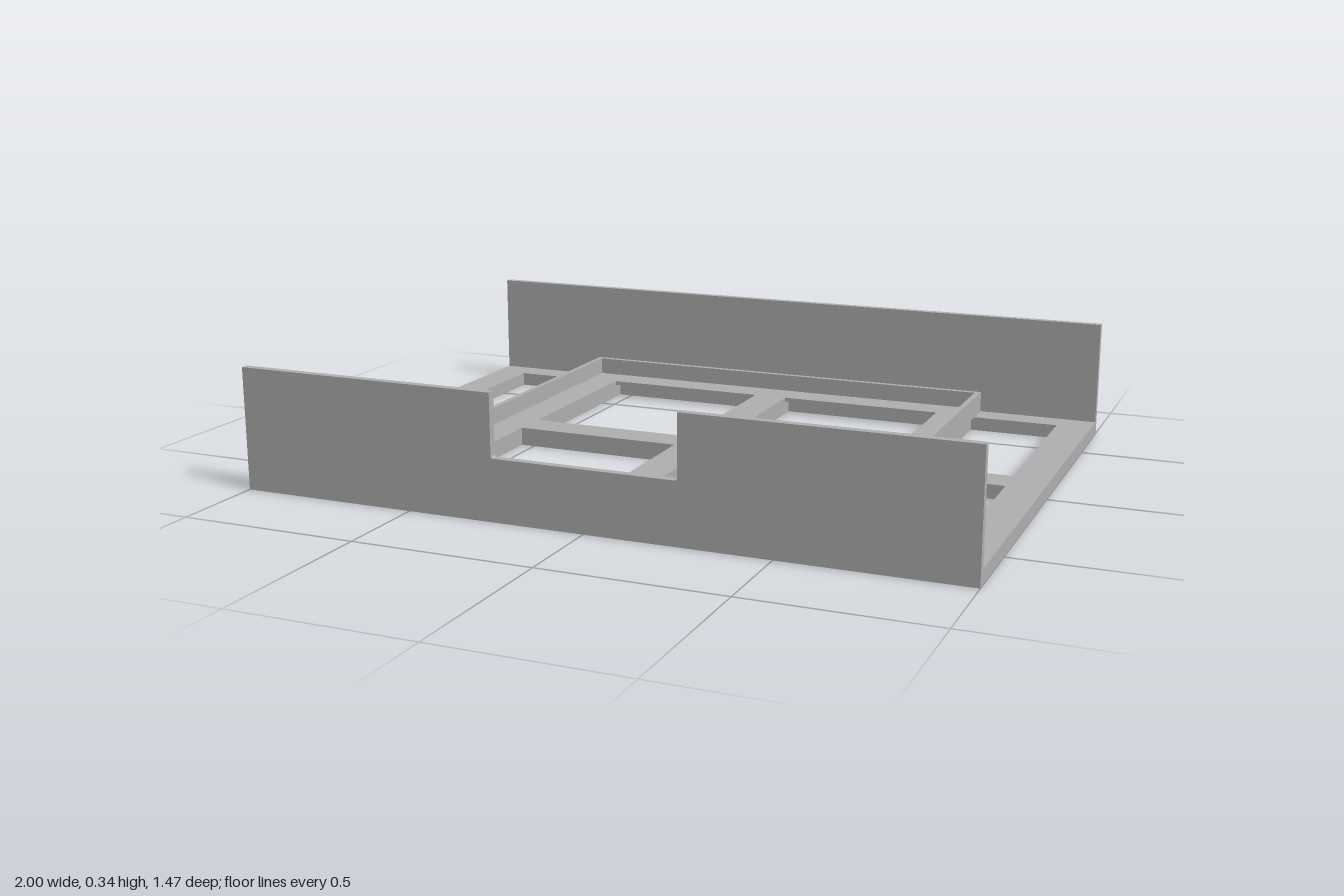
import * as THREE from 'three';

const grey = new THREE.MeshStandardMaterial({ color: 0xb0b0b0 });
grey.name = 'plain grey';

// Counter-clockwise rectangle points
const rect = (x0, y0, x1, y1) => [[x0, y0], [x1, y0], [x1, y1], [x0, y1]].map(p => new THREE.Vector2(...p));

// Flat plate lying in the xz plane, with rectangular holes
function plate(name, halfX, halfZ, y, height, holes) {
  const shape = new THREE.Shape(rect(-halfX, -halfZ, halfX, halfZ));
  for (const h of holes) shape.holes.push(new THREE.Path(rect(...h)));
  const geo = new THREE.ExtrudeGeometry(shape, { depth: height, bevelEnabled: false });
  geo.rotateX(-Math.PI / 2);
  const mesh = new THREE.Mesh(geo, grey);
  mesh.name = name;
  mesh.position.y = y;
  return mesh;
}

// Upright panel in the xy plane
function panel(name, shape, z) {
  const geo = new THREE.ExtrudeGeometry(shape, { depth: 0.022, bevelEnabled: false });
  const mesh = new THREE.Mesh(geo, grey);
  mesh.name = name;
  mesh.position.z = z;
  return mesh;
}

export function createModel() {
  const model = new THREE.Group();
  model.name = 'trayHolder';

  // Lattice base: three bays wide, two deep
  const bays = [[-0.9, -0.64], [-0.54, -0.05], [0.05, 0.54], [0.64, 0.9]];
  const holes = (xs, z) => xs.flatMap(([a, b]) => [[a, -z, b, -0.05], [a, 0.05, b, z]]);
  model.add(plate('baseFrame', 1, 0.735, 0, 0.04, holes(bays, 0.632)));

  // Inner tray: lattice floor and thin rim
  const tray = new THREE.Group();
  tray.name = 'tray';
  tray.add(plate('trayFloor', 0.645, 0.7, 0.04, 0.012, holes(bays.slice(1, 3), 0.598)));
  tray.add(plate('trayRim', 0.65, 0.707, 0.04, 0.062, [[-0.634, -0.69, 0.634, 0.69]]));
  model.add(tray);

  // Plain back panel
  model.add(panel('backPanel', new THREE.Shape(rect(-1, 0, 1, 0.338)), -0.735));

  // Front panel with a central finger notch, slightly rounded at its lower corners
  const front = new THREE.Shape();
  const w = 0.255, low = 0.168, r = 0.008;
  front.moveTo(-1, 0);
  front.lineTo(1, 0);
  front.lineTo(1, 0.338);
  front.lineTo(w, 0.338);
  front.lineTo(w, low + r);
  front.quadraticCurveTo(w, low, w - r, low);
  front.lineTo(-w + r, low);
  front.quadraticCurveTo(-w, low, -w, low + r);
  front.lineTo(-w, 0.338);
  front.lineTo(-1, 0.338);
  front.closePath();
  model.add(panel('frontPanel', front, 0.713));

  return model;
}
